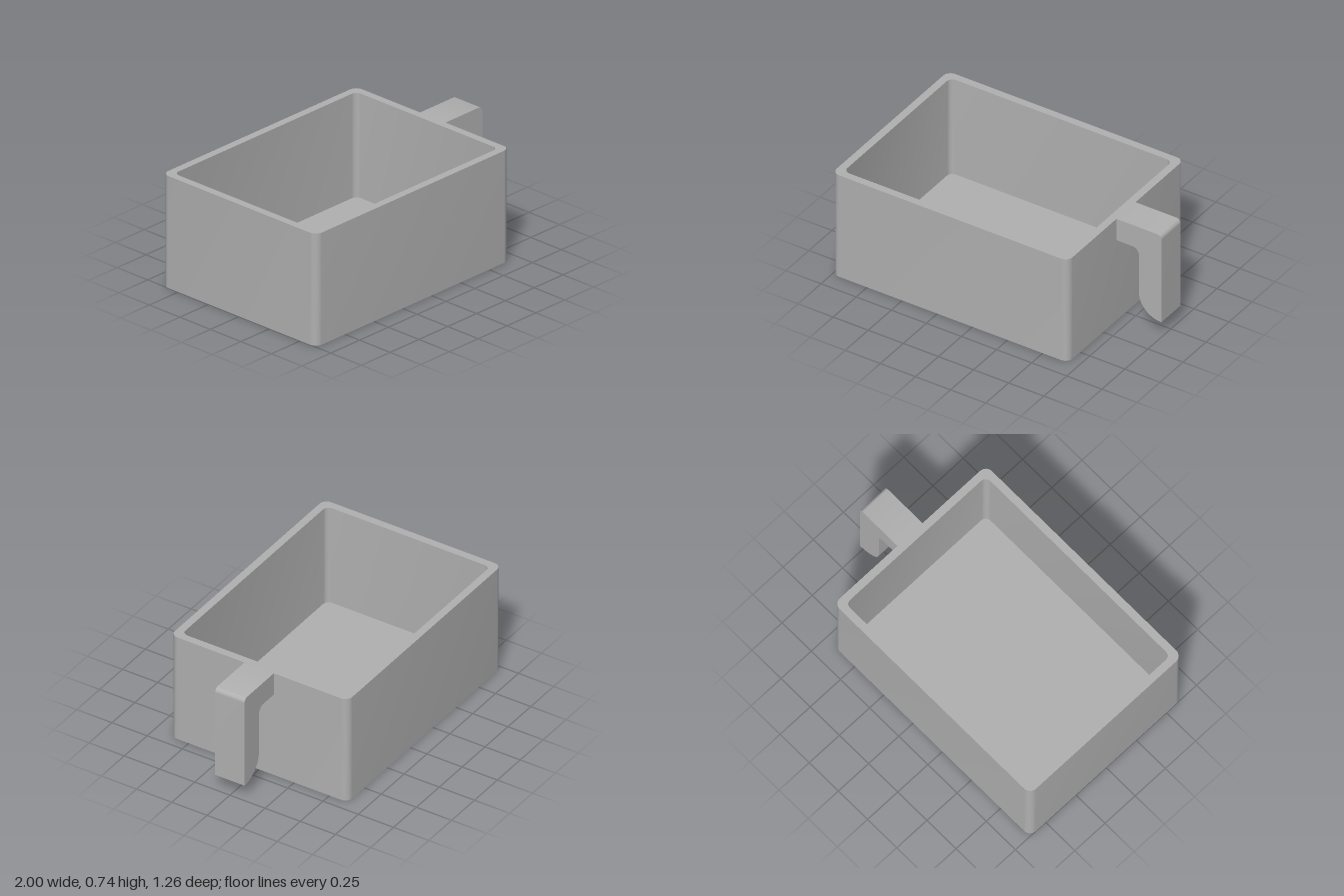
import * as THREE from 'three';
import { toCreasedNormals } from 'three/addons/utils/BufferGeometryUtils.js';

const HEIGHT = 0.737, FLOOR = 0.05, WALL = 0.05;
const CENTER_X = -0.16, HALF_X = 0.84, HALF_Z = 0.63;
const CORNER_STEPS = 8;

// Rounded rectangle loop at height y, counter-clockwise seen from above
function ring(halfX, halfZ, radius, y) {
  const points = [];
  [[1, 1], [-1, 1], [-1, -1], [1, -1]].forEach(([sx, sz], corner) => {
    for (let i = 0; i <= CORNER_STEPS; i++) {
      const a = (corner + i / CORNER_STEPS) * Math.PI / 2;
      points.push([
        CENTER_X + sx * (halfX - radius) + radius * Math.cos(a),
        y,
        -(sz * (halfZ - radius) + radius * Math.sin(a)),
      ]);
    }
  });
  return points;
}

// Closed skin: underside, outer walls, rim, inner walls, inner floor
function trayGeometry() {
  const outer = y => ring(HALF_X, HALF_Z, 0.05, y);
  const inner = y => ring(HALF_X - WALL, HALF_Z - WALL, 0.04, y);
  const rings = [outer(0), outer(HEIGHT), inner(HEIGHT), inner(FLOOR)];
  const n = rings[0].length;
  const position = [];
  const triangle = (a, b, c) => position.push(...a, ...b, ...c);

  for (let i = 0; i < n; i++) {
    const j = (i + 1) % n;
    for (let r = 0; r < rings.length - 1; r++) {
      const low = rings[r], high = rings[r + 1];
      triangle(low[i], low[j], high[j]);
      triangle(low[i], high[j], high[i]);
    }
    triangle([CENTER_X, 0, 0], rings[0][j], rings[0][i]);
    triangle([CENTER_X, FLOOR, 0], rings[3][i], rings[3][j]);
  }
  const geometry = new THREE.BufferGeometry();
  geometry.setAttribute('position', new THREE.Float32BufferAttribute(position, 3));
  return toCreasedNormals(geometry, 0.5);
}

// Hook side profile extruded across its width
function hookGeometry() {
  const left = CENTER_X + HALF_X, width = 0.208;
  const shape = new THREE.Shape();
  shape.moveTo(left, 0.583);
  shape.lineTo(0.795, 0.583);
  shape.absarc(0.795, 0.538, 0.045, Math.PI / 2, 0, true);
  shape.lineTo(0.84, 0.268);
  shape.absarc(1, 0.268, 0.16, Math.PI, Math.PI * 1.5, false);
  shape.lineTo(1, HEIGHT - 0.03);
  shape.absarc(0.97, HEIGHT - 0.03, 0.03, 0, Math.PI / 2, false);
  shape.lineTo(left, HEIGHT);
  shape.closePath();
  const geometry = new THREE.ExtrudeGeometry(shape, { depth: width, bevelEnabled: false, curveSegments: 12 });
  geometry.translate(0, 0, -width / 2);
  return toCreasedNormals(geometry, 0.5);
}

export function createModel() {
  const group = new THREE.Group();
  group.name = 'hangingTray';
  const gray = new THREE.MeshStandardMaterial({ color: 0xb0b0b0 });
  gray.name = 'plainGray';

  const tray = new THREE.Mesh(trayGeometry(), gray);
  tray.name = 'tray';
  const hook = new THREE.Mesh(hookGeometry(), gray);
  hook.name = 'hook';
  group.add(tray, hook);
  return group;
}
